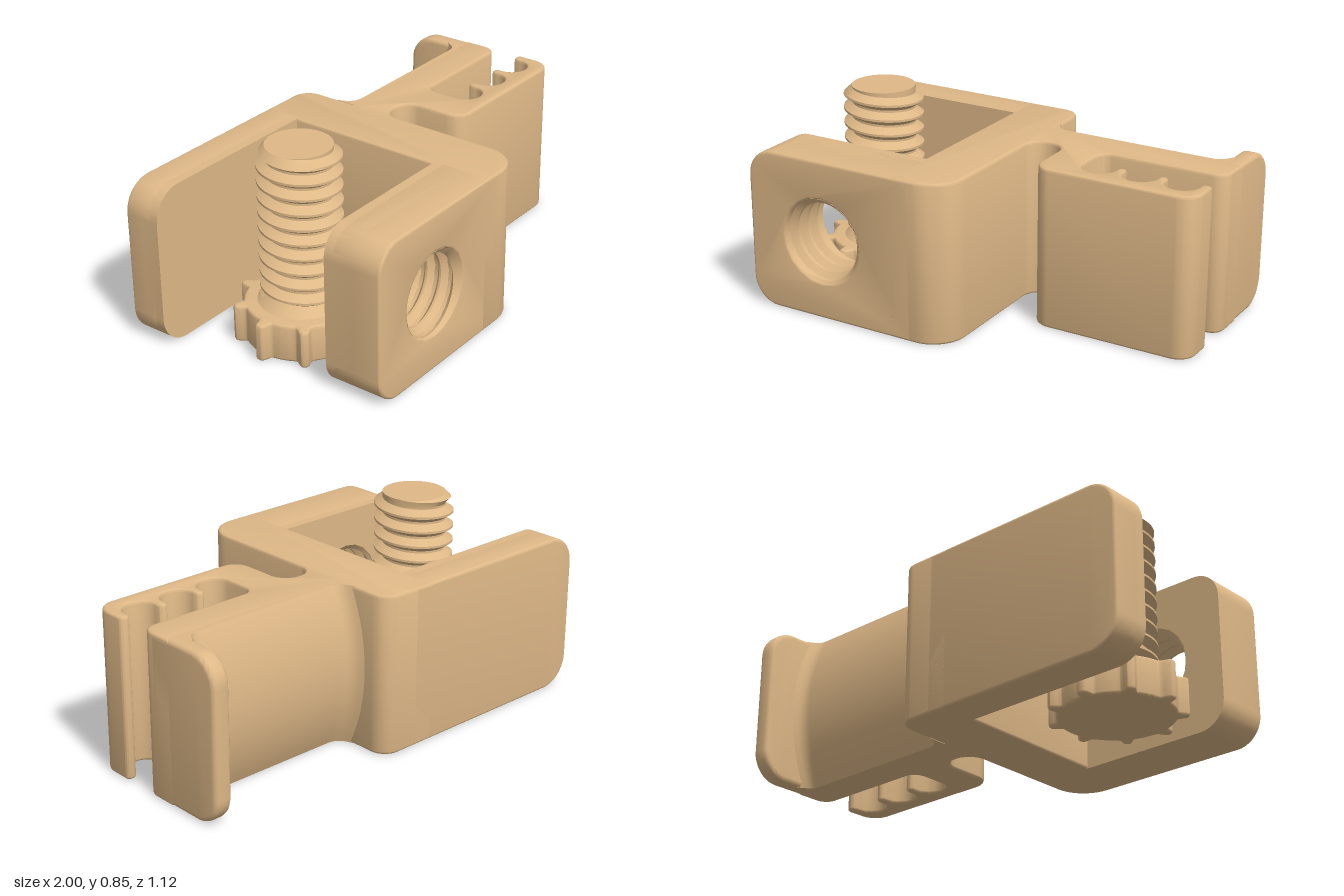
import * as THREE from 'three';
import { toCreasedNormals, mergeGeometries } from 'three/addons/utils/BufferGeometryUtils.js';

const H = 0.695; // height of the clamp

// Closed outline from [x, y, cornerRadius] points
function outline(points) {
  const shape = new THREE.Shape();
  const n = points.length;
  points.forEach(([x, y, r], i) => {
    const p = new THREE.Vector2(x, y);
    const toPrev = new THREE.Vector2(...points[(i + n - 1) % n]).sub(p).normalize();
    const toNext = new THREE.Vector2(...points[(i + 1) % n]).sub(p).normalize();
    const at = (dir, d) => p.clone().addScaledVector(dir, d);
    const a = at(toPrev, r), b = at(toNext, r);
    if (i === 0) shape.moveTo(a.x, a.y); else shape.lineTo(a.x, a.y);
    if (r > 0) {
      const c1 = at(toPrev, r * 0.4477), c2 = at(toNext, r * 0.4477);
      shape.bezierCurveTo(c1.x, c1.y, c2.x, c2.y, b.x, b.y);
    }
  });
  return shape;
}

// Extrusion from z = 0 to z = thickness, edges rounded by b inside the outline
function prism(shape, thickness, b = 0) {
  return new THREE.ExtrudeGeometry(shape, {
    depth: thickness - 2 * b, bevelEnabled: b > 0, bevelThickness: b, bevelSize: b,
    bevelOffset: -b, bevelSegments: 3, curveSegments: 10,
  }).translate(0, 0, b);
}

// Helical thread along +y; rows of vertices follow the helix. Negative depth cuts inward.
function thread(root, depth, length, pitch, taperStart, taperEnd) {
  const profile = [[0, 0], [0.15, 0], [0.5, 1], [0.65, 1]];
  const seg = 64, rows = (Math.ceil(length / pitch) + 2) * 4;
  const pos = [], index = [];
  for (let k = 0; k <= rows; k++) {
    const [f, h] = profile[k % 4];
    for (let i = 0; i <= seg; i++) {
      const t = (i / seg) * Math.PI * 2;
      const y = THREE.MathUtils.clamp(pitch * (Math.floor(k / 4) - 1 + f + i / seg), 0, length);
      const fade = Math.min(1, y / taperStart, (length - y) / taperEnd);
      const r = root + depth * h * fade;
      pos.push(r * Math.cos(t), y, r * Math.sin(t));
      if (k < rows && i < seg) {
        const a = k * (seg + 1) + i, c = a + seg + 1;
        index.push(a, c, a + 1, a + 1, c, c + 1);
      }
    }
  }
  const g = new THREE.BufferGeometry();
  g.setAttribute('position', new THREE.Float32BufferAttribute(pos, 3));
  g.setIndex(index);
  return toCreasedNormals(g, 0.5);
}

export function createModel() {
  const model = new THREE.Group();
  const material = new THREE.MeshStandardMaterial({ color: 0xdeb887 });
  const twoSided = material.clone();
  twoSided.side = THREE.DoubleSide;
  const add = (parent, name, geometry, mat = material) => {
    const mesh = new THREE.Mesh(geometry, mat);
    mesh.name = name;
    parent.add(mesh);
    return mesh;
  };
  const crease = (g) => toCreasedNormals(g, 0.6);

  // Spine, shelf and toothed hook share one plan outline (x, z)
  const plan = [
    [-0.135, -0.565, 0], [0.125, -0.565, 0.08], [0.125, -0.3, 0], [1, -0.3, 0],
    [1, -0.14, 0.06], [0.445, -0.14, 0.05],
  ];
  for (let i = 0; i < 3; i++) {
    const x0 = 0.445 + i * 0.183, x1 = x0 + 0.143;
    plan.push([x0, 0.085, 0.07], [x1, 0.085, 0.07]);
    plan.push([x1, -0.02, 0.019], [i < 2 ? x0 + 0.183 : 1, -0.02, 0.019]);
  }
  plan.push([1, 0.155, 0.08], [0.28, 0.155, 0.08], [0.28, -0.14, 0.076], [0.125, -0.14, 0.076],
    [0.125, 0.56, 0.15], [-0.135, 0.56, 0]);
  const planShape = outline(plan.map(([x, z, r]) => [x, -z, r]));
  add(model, 'spineAndHook', crease(prism(planShape, H, 0.012).rotateX(-Math.PI / 2)));

  // Clamp arms: rounded free corners, outer edges softened, inner edges sharp
  const armShape = (x0, r) => outline([[x0, 0, r], [-0.04, 0, 0], [-0.04, H, 0], [x0, H, r]]);
  const arm = (shape, thickness) => mergeGeometries([
    prism(shape, thickness - 0.03, 0.012).translate(0, 0, 0.03),
    prism(shape, thickness / 2),
  ]);
  const backShape = armShape(-1, 0.13);
  add(model, 'backArm', crease(mergeGeometries([
    prism(backShape, 0.135, 0.012).translate(0, 0, -0.565),
    prism(backShape, 0.08).translate(0, 0, -0.48),
  ])));
  const frontShape = armShape(-0.84, 0.12);
  frontShape.holes.push(new THREE.Path().absarc(-0.48, 0.345, 0.185, 0, Math.PI * 2, true));
  add(model, 'frontArm', crease(arm(frontShape, 0.26).translate(0, 0, 0.3)));

  // Internal thread of the front arm
  const bore = add(model, 'threadedHole', thread(0.187, -0.028, 0.258, 0.066, 0.025, 0.03), twoSided);
  bore.rotation.x = Math.PI / 2;
  bore.position.set(-0.48, 0.345, 0.3);

  // Saddle: bulging back of the shelf, filleted into the spine and the lip
  const saddle = new THREE.BoxGeometry(0.83, H, 0.1, 60, 20, 1).translate(0.535, H / 2, -0.3);
  const p = saddle.attributes.position;
  const fillet = (d, r) => (d >= r ? 0 : r - Math.sqrt(r * r - (r - Math.max(d, 0)) ** 2));
  for (let i = 0; i < p.count; i++) {
    if (p.getZ(i) > -0.3) continue;
    const x = p.getX(i), v = p.getY(i) - H / 2;
    const bulge = Math.sqrt(0.784 ** 2 - v * v) - 0.704;
    p.setZ(i, -0.31 - bulge - fillet(x - 0.125, 0.07) - fillet(0.925 - x, 0.06));
  }
  add(model, 'saddle', crease(saddle));

  // Lip at the end of the shelf
  const lipShape = outline([[0.19, 0, 0], [0.565, 0, 0.12], [0.565, H, 0.12], [0.19, H, 0]]);
  add(model, 'lip', crease(prism(lipShape, 0.08, 0.02).rotateY(Math.PI / 2).translate(0.92, 0, 0)));

  // Loose thumb screw standing between the arms
  const screw = new THREE.Group();
  screw.name = 'thumbScrew';
  screw.position.set(-0.565, 0, -0.035);
  model.add(screw);

  const rim = [];
  for (let i = 0; i < 252; i++) {
    const t = (i / 252) * Math.PI * 2;
    const d = ((i + 14) % 28 - 14) * (Math.PI * 2 / 252); // angle from nearest grip
    const r = 0.24 + 0.044 * Math.exp(-((d / 0.1) ** 4));
    rim.push(new THREE.Vector2(-r * Math.cos(t), r * Math.sin(t)));
  }
  add(screw, 'knob', crease(prism(new THREE.Shape(rim), 0.165, 0.012).rotateX(-Math.PI / 2)));
  add(screw, 'collar', new THREE.CylinderGeometry(0.14, 0.187, 0.04, 48).translate(0, 0.183, 0));
  add(screw, 'shaftThread', thread(0.137, 0.035, 0.69, 0.066, 0.02, 0.035).translate(0, 0.163, 0));
  add(screw, 'shaftTip', new THREE.CircleGeometry(0.137, 64).rotateX(-Math.PI / 2).translate(0, 0.853, 0));

  return model;
}
